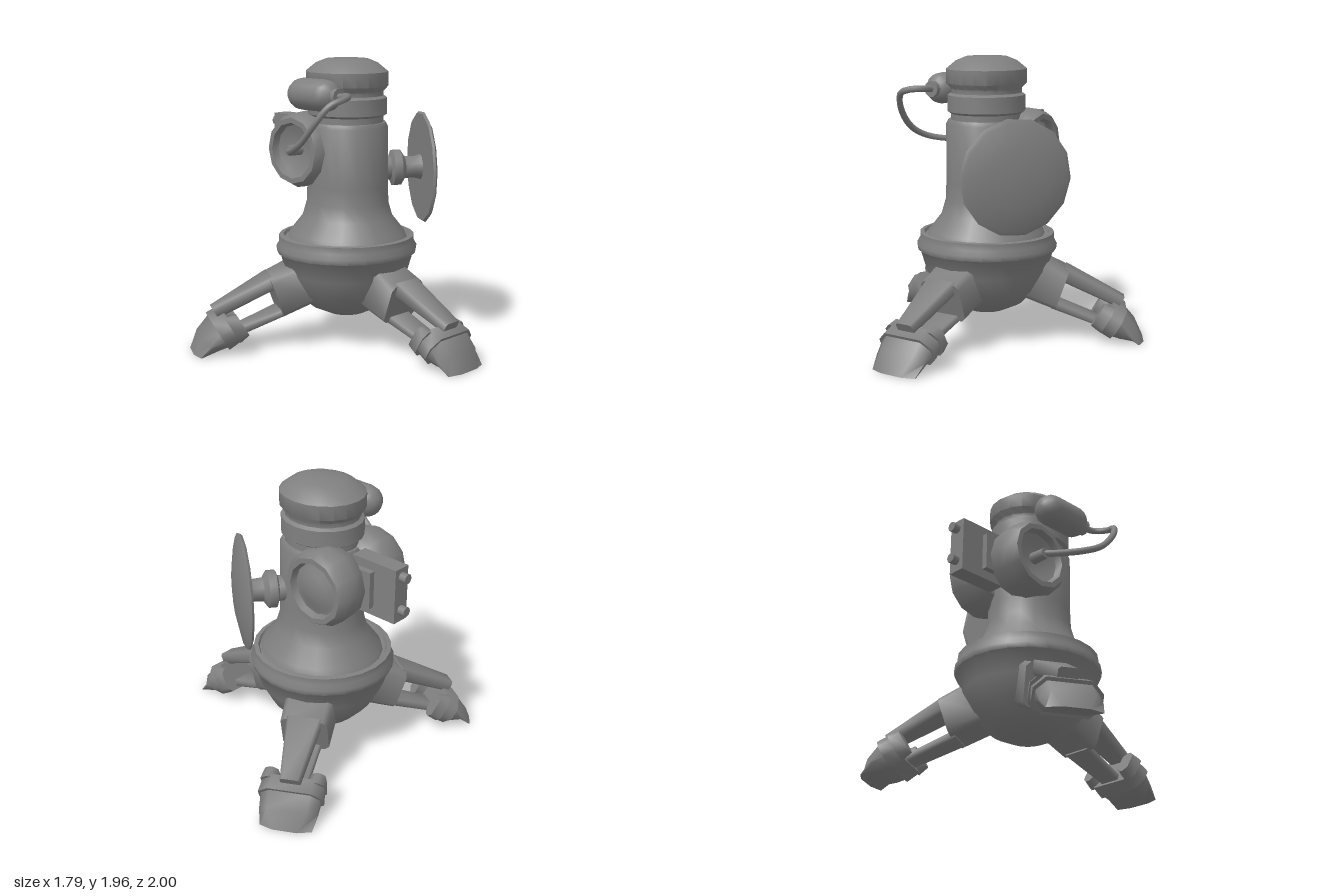
import * as THREE from 'three';
import { toCreasedNormals } from 'three/addons/utils/BufferGeometryUtils.js';

const material = new THREE.MeshStandardMaterial({ color: 0x808080 });
const AXIS_X = -0.2; // vertical axis of the hull and legs

function part(name, geometry, parent, crease = 0.8) {
  const mesh = new THREE.Mesh(toCreasedNormals(geometry, crease), material);
  mesh.name = name;
  parent.add(mesh);
  return mesh;
}

// Turned shape from [radius, height] pairs, bottom to top
function turned(profile, sides) {
  return new THREE.LatheGeometry(profile.map(([r, y]) => new THREE.Vector2(r, y)), sides);
}

function box(w, h, d, x, y, z) {
  return new THREE.BoxGeometry(w, h, d).translate(x, y, z);
}

// Chamfered bar through sections [x, y, tilt in degrees, half width, half height, chamfer]
function loft(sections) {
  const positions = [], index = [], n = 8;
  for (const [x, y, tilt, w, h, chamfer] of sections) {
    const a = THREE.MathUtils.degToRad(tilt), c = Math.min(chamfer, h * 0.9);
    const ring = [
      [-w + chamfer, h], [w - chamfer, h], [w, h - c], [w, c - h],
      [w - chamfer, -h], [chamfer - w, -h], [-w, c - h], [-w, h - c],
    ];
    for (const [z, v] of ring) positions.push(x + Math.sin(a) * v, y + Math.cos(a) * v, z);
  }
  const last = (sections.length - 1) * n;
  for (let i = 0; i < last; i += n) {
    for (let j = 0; j < n; j++) {
      const k = (j + 1) % n;
      index.push(i + j, i + k, i + n + k, i + j, i + n + k, i + n + j);
    }
  }
  for (let j = 1; j < n - 1; j++) index.push(0, j + 1, j, last, last + j, last + j + 1);
  const geometry = new THREE.BufferGeometry();
  geometry.setAttribute('position', new THREE.Float32BufferAttribute(positions, 3));
  geometry.setIndex(index);
  return geometry;
}

// One leg, reaching out along +x from the hull axis
function createLeg() {
  const leg = new THREE.Group();
  leg.name = 'leg';
  part('legSocket', loft([[0.3, 0.455, 25, 0.16, 0.145, 0.03], [0.525, 0.36, 19, 0.155, 0.138, 0.03]]), leg);
  part('upperStrut', loft([[0.53, 0.47, 30, 0.115, 0.048, 0.015], [0.935, 0.268, 30, 0.065, 0.04, 0.015]]), leg);
  part('lowerStrut', loft([[0.46, 0.252, 22, 0.1, 0.026, 0.01], [0.79, 0.125, 22, 0.075, 0.026, 0.01]]), leg);
  part('ankle', loft([[0.825, 0.18, 30, 0.2, 0.108, 0.07], [0.915, 0.13, 30, 0.212, 0.11, 0.07]]), leg, 1);
  // Ears reaching back on both sides of the struts
  for (const side of [-1, 1]) {
    const ear = loft([[0.77, 0.205, 30, 0.045, 0.085, 0.03], [0.84, 0.17, 30, 0.058, 0.1, 0.04]]);
    part('ankleEar', ear.translate(0, 0, side * 0.153), leg, 1);
  }
  part('foot', loft([
    [0.9, 0.137, 30, 0.195, 0.095, 0.06],
    [0.98, 0.075, 52, 0.19, 0.07, 0.06],
    [1.055, 0.002, 88, 0.17, 0.036, 0.09],
  ]), leg, 1);
  return leg;
}

export function createModel() {
  const model = new THREE.Group();
  model.name = 'tripodRobot';

  // Bowl hull with its raised belt
  part('hull', turned([
    [0, 0.185], [0.13, 0.2], [0.25, 0.255], [0.35, 0.36], [0.425, 0.5], [0.46, 0.62],
    [0.48, 0.635], [0.485, 0.67], [0.465, 0.705], [0.465, 0.75], [0.435, 0.755],
    [0.425, 0.735], [0.39, 0.735],
  ], 24).translate(AXIS_X, 0, 0), model);

  // Trunk and head, slightly narrower front to back
  const shoulders = turned([
    [0.43, 0.72], [0.41, 0.77], [0.32, 0.88], [0.29, 0.98], [0.285, 1.1],
    [0.285, 1.5], [0.27, 1.53], [0, 1.53],
  ], 20);
  part('trunk', shoulders.scale(1, 1, 0.94).translate(-0.19, 0, 0), model);
  const head = turned([
    [0.255, 1.5], [0.255, 1.57], [0.28, 1.585], [0.28, 1.695], [0.255, 1.71], [0.255, 1.74],
    [0.29, 1.775], [0.29, 1.87], [0.22, 1.925], [0.15, 1.952], [0, 1.958],
  ], 20);
  part('head', head.scale(1, 1, 0.92).translate(-0.19, 0, 0), model);

  // Three legs spaced around the hull
  for (let i = 0; i < 3; i++) {
    const leg = createLeg();
    leg.position.x = AXIS_X;
    leg.rotation.y = (i * Math.PI * 2) / 3;
    model.add(leg);
  }

  // Side pods: a hollow one in front, a domed one behind
  const shell = [
    [0, 0.05], [0.2, 0.05], [0.245, 0.1], [0.26, 0.18], [0.255, 0.27],
    [0.225, 0.325], [0.19, 0.325], [0.175, 0.28],
  ];
  const pods = [
    ['frontPod', 1, [[0.1, 0.25], [0, 0.245]]],
    ['backPod', -1, [[0.15, 0.285], [0.1, 0.31], [0, 0.322]]],
  ];
  for (const [name, side, centre] of pods) {
    const pod = turned([...shell, ...centre], 12).rotateX(side * Math.PI / 2);
    part(name, pod.translate(-0.4, 1.34, 0), model);
  }

  // Bracket and plate on the right side
  part('podBracket', box(0.28, 0.25, 0.2, -0.54, 1.355, 0), model);
  part('sidePlate', box(0.35, 0.37, 0.12, -0.675, 1.355, 0), model);
  for (const y of [1.25, 1.48]) {
    const knob = new THREE.CylinderGeometry(0.033, 0.033, 0.08, 8).rotateZ(Math.PI / 2);
    part('plateKnob', knob.translate(-0.86, y, 0), model);
  }

  // Canister on the head, with a hose into the front pod
  const tank = new THREE.CapsuleGeometry(0.107, 0.205, 4, 14).rotateZ(Math.PI / 2);
  part('canister', tank.translate(-0.195, 1.73, 0.305), model);
  const nozzle = new THREE.CylinderGeometry(0.055, 0.055, 0.06, 10).rotateZ(Math.PI / 2);
  part('canisterNozzle', nozzle.translate(0, 1.73, 0.305), model);
  const hosePath = new THREE.CatmullRomCurve3([
    [0.02, 1.73, 0.305], [0.12, 1.74, 0.315], [0.165, 1.73, 0.4], [0.13, 1.695, 0.49],
    [0.05, 1.58, 0.545], [-0.07, 1.45, 0.55], [-0.2, 1.38, 0.51], [-0.33, 1.35, 0.41],
    [-0.4, 1.345, 0.34],
  ].map((p) => new THREE.Vector3(...p)));
  part('hose', new THREE.TubeGeometry(hosePath, 40, 0.022, 8), model, 1.2);
  const fitting = new THREE.CylinderGeometry(0.035, 0.04, 0.12, 10).rotateX(Math.PI / 2);
  part('hoseFitting', fitting.translate(-0.4, 1.343, 0.3), model);

  // Round shield on a collared stem, behind the left side
  const shield = new THREE.Group();
  shield.name = 'shieldArm';
  shield.position.set(0.105, 1.2, -0.425);
  shield.quaternion.setFromUnitVectors(
    new THREE.Vector3(0, 1, 0), new THREE.Vector3(0.58, 0, -0.815).normalize());
  part('shieldStem', turned([
    [0, -0.32], [0.085, -0.32], [0.085, -0.22], [0.125, -0.205], [0.125, -0.15],
    [0.08, -0.12], [0.075, -0.05], [0.09, 0.0], [0, 0.01],
  ], 12), shield);
  part('shieldDisc', turned([
    [0, -0.005], [0.2, -0.005], [0.375, -0.005], [0.388, 0.01], [0.36, 0.025], [0.2, 0.058], [0, 0.075],
  ], 14), shield);
  model.add(shield);

  return model;
}
